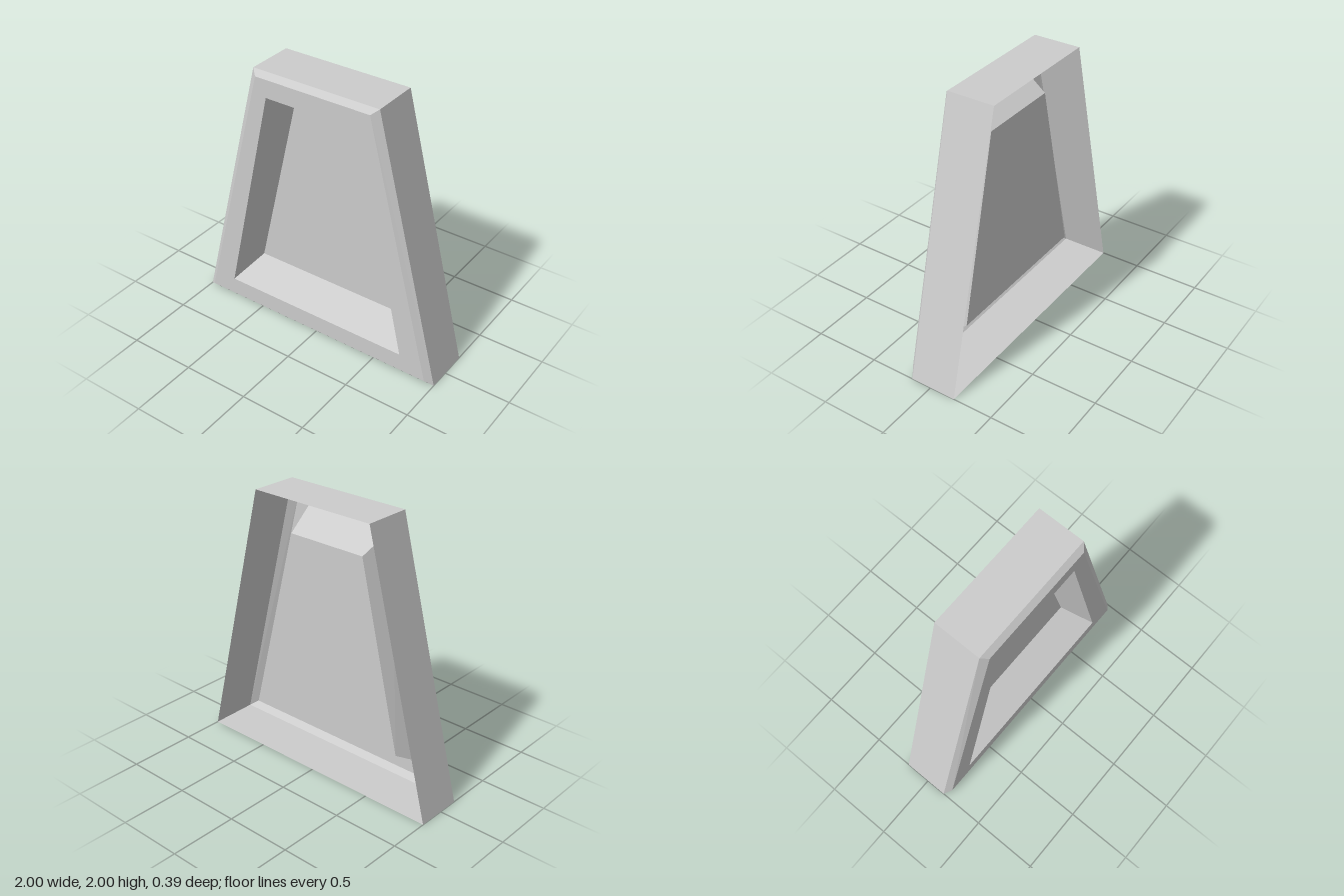
import * as THREE from 'three';

const material = new THREE.MeshStandardMaterial({
  color: 0xcccccc, flatShading: true, side: THREE.DoubleSide,
});

// Trapezoid outline, counter-clockwise seen from the front
const trapezoid = (halfBottom, yBottom, halfTop, yTop, z) => [
  [-halfBottom, yBottom, z], [halfBottom, yBottom, z],
  [halfTop, yTop, z], [-halfTop, yTop, z],
];

function quadMesh(name, quads) {
  const positions = quads.flatMap(([a, b, c, d]) => [a, b, c, a, c, d].flat());
  const geometry = new THREE.BufferGeometry();
  geometry.setAttribute('position', new THREE.Float32BufferAttribute(positions, 3));
  geometry.computeVertexNormals();
  const mesh = new THREE.Mesh(geometry, material);
  mesh.name = name;
  return mesh;
}

// Four-sided band joining two outlines
function band(name, from, to) {
  return quadMesh(name, from.map((p, i) => {
    const j = (i + 1) % 4;
    return [p, from[j], to[j], to[i]];
  }));
}

export function createModel() {
  const group = new THREE.Group();
  group.name = 'taperedPanel';

  const back = trapezoid(1, 0, 0.494, 2, -0.196);
  const shoulder = trapezoid(1, 0, 0.494, 2, 0.156);
  const rim = trapezoid(0.943, 0.043, 0.449, 1.963, 0.196);
  const opening = trapezoid(0.737, 0.178, 0.366, 1.83, 0.196);
  const floor = trapezoid(0.636, 0.314, 0.315, 1.692, -0.046);

  // Shell open at the back, built from the rear edge to the sunken panel
  group.add(
    band('outerWall', back, shoulder),
    band('bevel', shoulder, rim),
    band('frontFrame', rim, opening),
    band('recessWall', opening, floor),
    quadMesh('recessPanel', [floor]),
  );
  return group;
}
